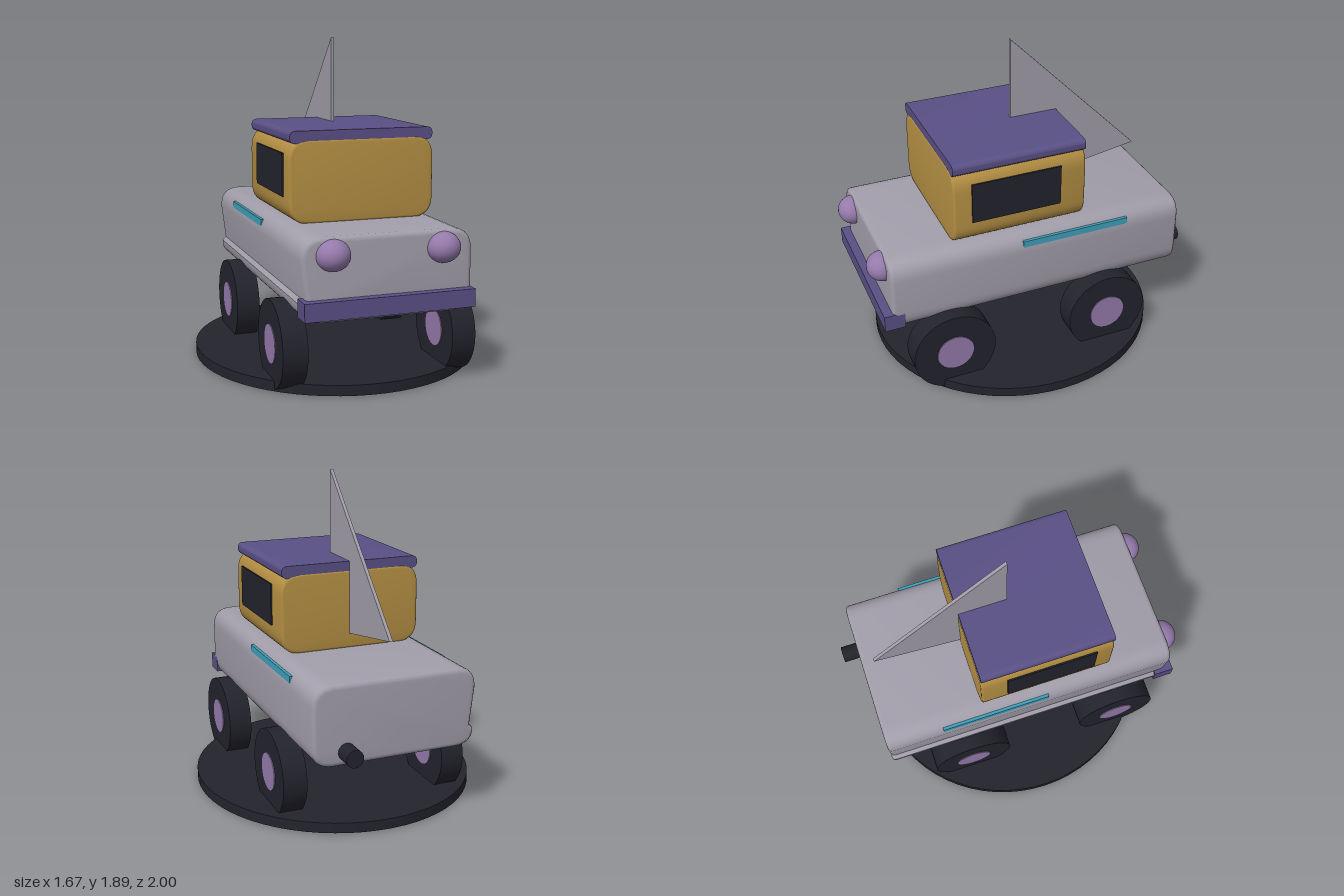
import * as THREE from 'three';
import { toCreasedNormals } from 'three/addons/utils/BufferGeometryUtils.js';

const paint = (name, color) => {
  const m = new THREE.MeshStandardMaterial({ color });
  m.name = name;
  return m;
};

// Rounded rectangle outline; notch > 0 dents the lower -x flank
function roundedOutline(w, h, r, notch = 0) {
  const x = w / 2, y = h / 2;
  const s = new THREE.Shape();
  s.moveTo(-x + r, -y);
  s.lineTo(x - r, -y);
  s.quadraticCurveTo(x, -y, x, -y + r);
  s.lineTo(x, y - r);
  s.quadraticCurveTo(x, y, x - r, y);
  s.lineTo(-x + r, y);
  s.quadraticCurveTo(-x, y, -x, y - r);
  if (notch) s.lineTo(-x + notch, -y + r);
  else s.lineTo(-x, -y + r);
  if (notch) s.lineTo(-x + 0.004, -y + r - 0.022);
  s.quadraticCurveTo(-x, -y, -x + r, -y);
  return s;
}

// Extrude an outline along z with rounded end edges, centred on the origin
function block(shape, depth, bevel) {
  const g = new THREE.ExtrudeGeometry(shape, {
    depth: depth - 2 * bevel, curveSegments: 8,
    bevelEnabled: bevel > 0, bevelSize: bevel, bevelThickness: bevel,
    bevelOffset: -bevel, bevelSegments: 3,
  });
  g.translate(0, 0, -depth / 2 + bevel);
  return toCreasedNormals(g, 0.6);
}

export function createModel() {
  const model = new THREE.Group();
  model.name = 'toyTruck';

  const grey = paint('bodyGrey', 0xa19daa);
  const ochre = paint('cabinOchre', 0xb48f43);
  const indigo = paint('trimIndigo', 0x5a5086);
  const lilac = paint('lilac', 0x957aab);
  const black = paint('rubberBlack', 0x23232d);
  const teal = paint('stripTeal', 0x3f9fba);

  const add = (name, geometry, material, x = 0, y = 0, z = 0) => {
    const mesh = new THREE.Mesh(geometry, material);
    mesh.name = name;
    mesh.position.set(x, y, z);
    model.add(mesh);
    return mesh;
  };

  // Oval display base
  const base = add('base', new THREE.CylinderGeometry(1, 1, 0.06, 64), black, 0, 0.03, 0.008);
  base.scale.set(0.833, 1, 0.872);

  // Body, cabin and roof
  add('body', block(roundedOutline(0.966, 0.455, 0.12, 0.026), 1.802, 0.025), grey, 0, 0.659, 0.011);
  add('cabin', block(roundedOutline(0.852, 0.465, 0.12), 0.798, 0.015), ochre, 0, 1.113, 0.117);
  add('roof', block(roundedOutline(0.842, 0.07, 0.034), 0.792, 0), indigo, 0, 1.36, 0.117);

  // Bumper and exhaust
  add('bumper', new THREE.BoxGeometry(0.966, 0.1, 0.12), indigo, 0, 0.51, 0.903);
  const exhaust = add('exhaust', new THREE.CylinderGeometry(0.05, 0.05, 0.2, 20), black, 0.29, 0.51, -0.9);
  exhaust.rotation.x = Math.PI / 2;

  // Upright triangular fin
  const finShape = new THREE.Shape([
    new THREE.Vector2(-0.01, 0.92),
    new THREE.Vector2(0.81, 1.06),
    new THREE.Vector2(-0.01, 1.885),
  ]);
  const finGeometry = new THREE.ExtrudeGeometry(finShape, { depth: 0.02, bevelEnabled: false });
  finGeometry.translate(0, 0, -0.01);
  finGeometry.rotateY(Math.PI / 2);
  add('fin', finGeometry, grey);

  // Paired parts
  const tyre = new THREE.CylinderGeometry(0.248, 0.248, 0.14, 40).rotateZ(Math.PI / 2);
  const hub = new THREE.CylinderGeometry(0.11, 0.11, 0.15, 32).rotateZ(Math.PI / 2);
  const lamp = new THREE.SphereGeometry(1, 32, 20);
  for (const [side, s] of [['left', 1], ['right', -1]]) {
    for (const [end, z] of [['Front', 0.578], ['Rear', -0.398]]) {
      add(side + end + 'Tyre', tyre, black, s * 0.489, 0.246, z);
      add(side + end + 'Hub', hub, lilac, s * 0.489, 0.246, z);
    }
    add(side + 'Headlight', lamp, lilac, s * 0.312, 0.791, 0.91).scale.set(0.094, 0.085, 0.09);
    add(side + 'Window', new THREE.BoxGeometry(0.009, 0.244, 0.535), black, s * 0.43, 1.145, 0.142);
    add(side + 'SideStrip', new THREE.BoxGeometry(0.03, 0.04, 0.662), teal, s * 0.464, 0.826, -0.211);
  }

  return model;
}
